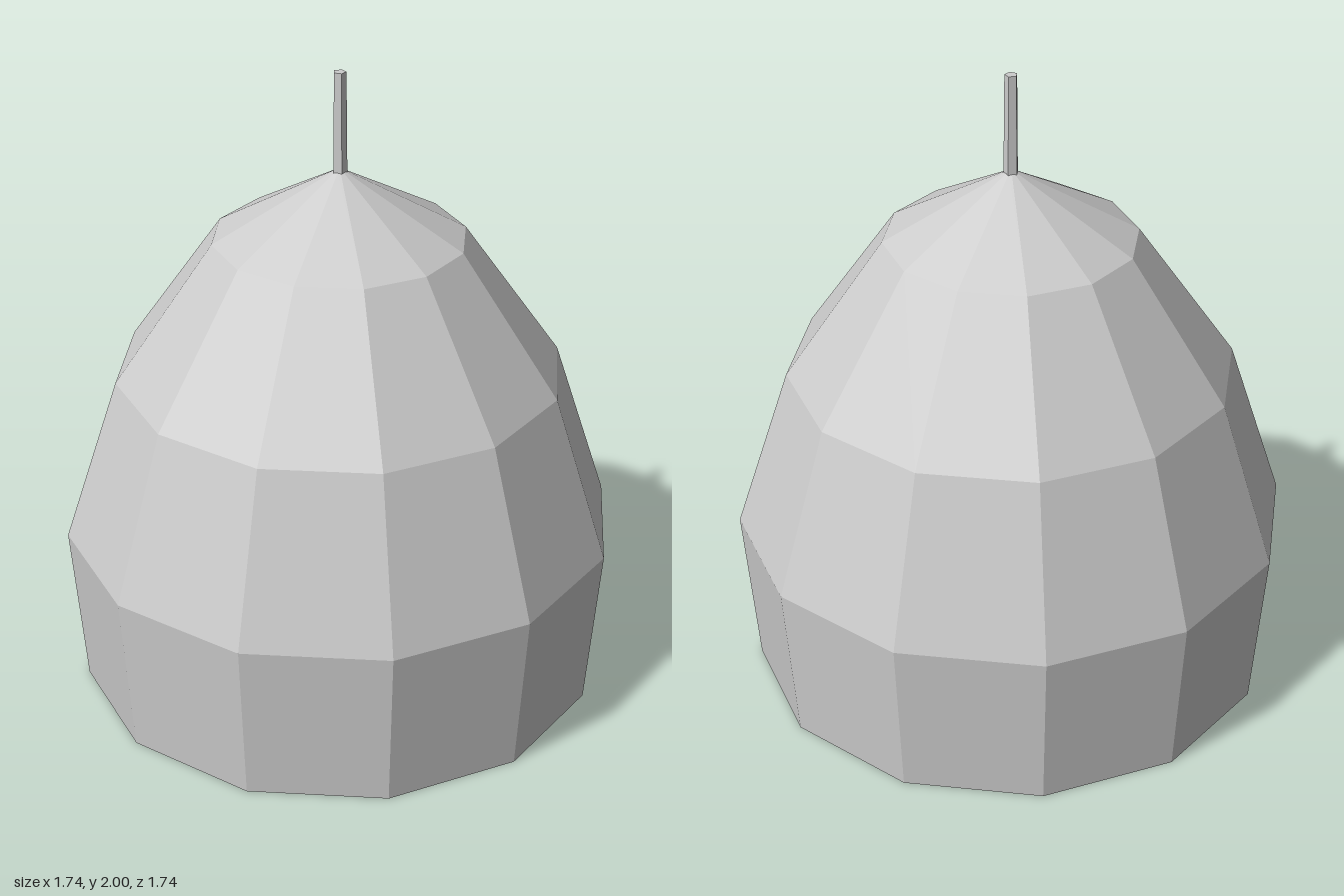
import * as THREE from 'three';

export function createModel() {
  const group = new THREE.Group();
  const grey = new THREE.MeshStandardMaterial({ color: 0xcccccc, flatShading: true });
  grey.name = 'light grey';

  // Twelve-sided dome with a closed flat base
  const profile = [
    [0, 0], [0.826, 0], [0.868, 0.522], [0.696, 1.043], [0.39, 1.48], [0.018, 1.69], [0, 1.69],
  ].map(([r, y]) => new THREE.Vector2(r, y));
  const dome = new THREE.Mesh(new THREE.LatheGeometry(profile, 12), grey);
  dome.name = 'dome';
  group.add(dome);

  // Thin five-sided rod on top, one corner towards the back
  const bottom = 1.68, top = 2;
  const rod = new THREE.Mesh(
    new THREE.CylinderGeometry(0.02, 0.023, top - bottom, 5, 1, false, Math.PI), grey);
  rod.position.y = (top + bottom) / 2;
  rod.name = 'rod';
  group.add(rod);

  return group;
}
